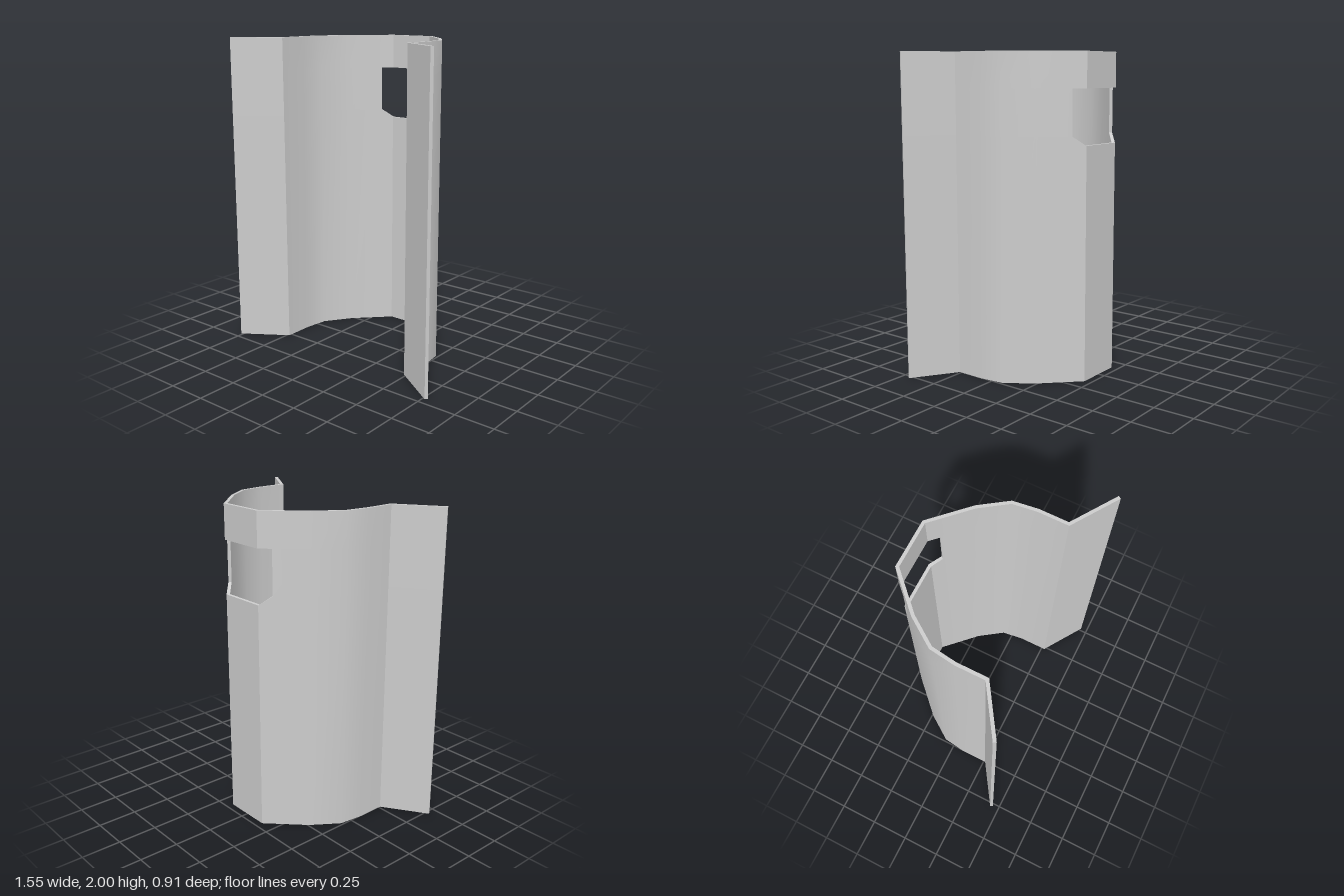
import * as THREE from 'three';
import { toCreasedNormals } from 'three/addons/utils/BufferGeometryUtils.js';

const THICKNESS = 0.02;
const HOLE_TOP = 1.785;

// Half of the sheet's centre line as [x, z, height of the window sill]
const half = [
  [0.771, 0.447, 1.505], // flange end
  [0.495, 0.267, 1.505], // flange fold
  [0.495, 0.083, 1.505],
  [0.475, -0.07, 1.505],
  [0.36, -0.235, 1.505],
  [0.207, -0.388, 1.505], // window edge
  [0.15, -0.445, 1.45], // back fold
];
const HOLE_FIRST = 5; // first station of the window

// Offset the centre line to both faces with mitred folds
function sheetSections() {
  const stations = [...half, ...half.map(([x, z, s]) => [-x, z, s]).reverse()];
  const normals = stations.slice(1).map(([x, z], i) =>
    new THREE.Vector2(stations[i][1] - z, x - stations[i][0]).normalize());
  return stations.map(([x, z, sill], i) => {
    const a = normals[Math.max(i - 1, 0)];
    const b = normals[Math.min(i, normals.length - 1)];
    const n = a.clone().add(b).normalize();
    const d = THICKNESS / 2 / n.dot(a);
    return {
      levels: [0, sill, HOLE_TOP, 2],
      outer: [x + n.x * d, z + n.y * d],
      inner: [x - n.x * d, z - n.y * d],
    };
  });
}

function sheetGeometry() {
  const sections = sheetSections();
  const columns = sections.length - 1;
  const positions = [];

  const point = (i, j, side) => {
    const [x, z] = sections[i][side];
    return [x, sections[i].levels[j], z];
  };
  const quad = (a, b, c, d) => positions.push(...a, ...b, ...c, ...a, ...c, ...d);

  // A cell is solid unless it lies in the window or beyond the sheet
  const solid = (i, j) => i >= 0 && i < columns && j >= 0 && j < 3 &&
    !(j === 1 && i >= HOLE_FIRST && i < columns - HOLE_FIRST);

  for (let i = 0; i < columns; i++) {
    for (let j = 0; j < 3; j++) {
      if (!solid(i, j)) continue;
      const [o00, o10, o11, o01] = [[i, j], [i + 1, j], [i + 1, j + 1], [i, j + 1]].map(([u, v]) => point(u, v, 'outer'));
      const [i00, i10, i11, i01] = [[i, j], [i + 1, j], [i + 1, j + 1], [i, j + 1]].map(([u, v]) => point(u, v, 'inner'));
      quad(o00, o10, o11, o01);
      quad(i01, i11, i10, i00);
      // Close the rim and the window edges
      if (!solid(i, j + 1)) quad(o01, o11, i11, i01);
      if (!solid(i, j - 1)) quad(i00, i10, o10, o00);
      if (!solid(i - 1, j)) quad(o00, o01, i01, i00);
      if (!solid(i + 1, j)) quad(i10, i11, o11, o10);
    }
  }

  const geometry = new THREE.BufferGeometry();
  geometry.setAttribute('position', new THREE.Float32BufferAttribute(positions, 3));
  // The shallow bends are smooth, the folds and rims stay sharp
  return toCreasedNormals(geometry, THREE.MathUtils.degToRad(37));
}

export function createModel() {
  const group = new THREE.Group();
  group.name = 'foldedSheetCover';
  const sheet = new THREE.Mesh(sheetGeometry(), new THREE.MeshStandardMaterial({ color: 0xcccccc }));
  sheet.name = 'foldedSheet';
  group.add(sheet);
  return group;
}
